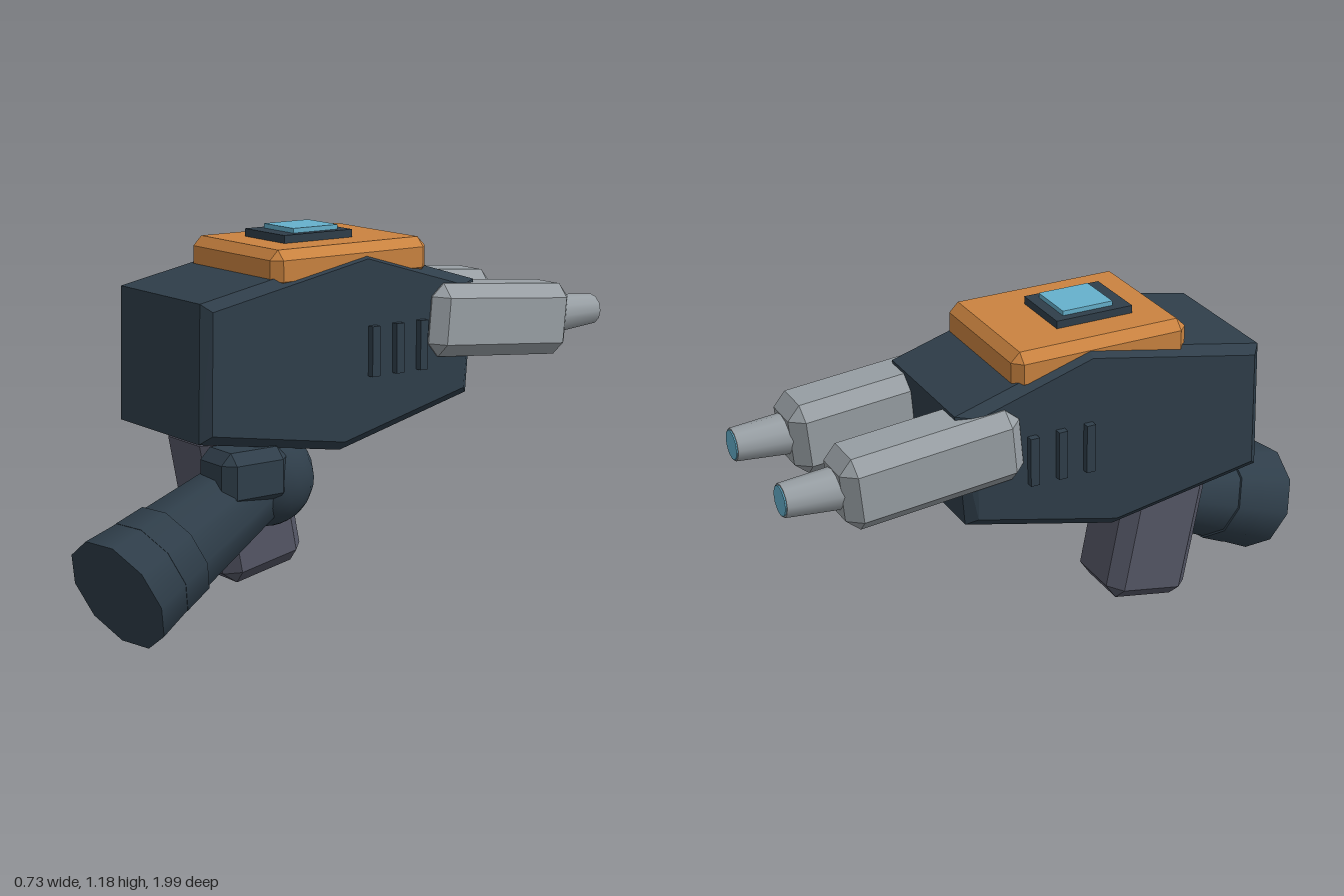
import * as THREE from 'three';
import { ConvexGeometry } from 'three/addons/geometries/ConvexGeometry.js';

const mat = (name, color) => {
  const m = new THREE.MeshStandardMaterial({ color });
  m.name = name;
  return m;
};

// Box of w x h x d with all edges chamfered by c
function chamferBox(w, h, d, c) {
  const pts = [];
  const [x, y, z] = [w / 2, h / 2, d / 2];
  for (const i of [-1, 1]) for (const j of [-1, 1]) for (const k of [-1, 1]) {
    pts.push(
      new THREE.Vector3(i * x, j * (y - c), k * (z - c)),
      new THREE.Vector3(i * (x - c), j * y, k * (z - c)),
      new THREE.Vector3(i * (x - c), j * (y - c), k * z));
  }
  return new ConvexGeometry(pts);
}

export function createModel() {
  const model = new THREE.Group();
  model.name = 'armCannon';
  const slate = mat('slate', 0x2f3e4a);
  const orange = mat('orange', 0xca8340);
  const grey = mat('lightGrey', 0x989fa4);
  const gripGrey = mat('gripGrey', 0x555766);
  const blue = mat('glowBlue', 0x66b1cd);
  const CX = -0.063; // centre plane of the weapon

  const add = (name, geometry, material, x = 0, y = 0, z = 0, parent = model) => {
    const mesh = new THREE.Mesh(geometry, material);
    mesh.name = name;
    mesh.position.set(x, y, z);
    parent.add(mesh);
    return mesh;
  };

  // Body: six-sided side profile (z, y), with a smaller profile on each flank
  const outer = [[0.605, 1.018], [0, 1.135], [-0.45, 1.0], [-0.422, 0.63], [0.09, 0.505], [0.615, 0.592]];
  const inner = [[0.578, 0.994], [0, 1.106], [-0.385, 0.99], [-0.39, 0.652], [0.09, 0.535], [0.585, 0.618]];
  const bodyPoints = [];
  for (const s of [-1, 1]) {
    for (const [z, y] of outer) bodyPoints.push(new THREE.Vector3(s * 0.226, y, z));
    for (const [z, y] of inner) bodyPoints.push(new THREE.Vector3(s * 0.255, y, z));
  }
  add('body', new ConvexGeometry(bodyPoints), slate, CX);

  // Top plate with its small screen
  add('topPlate', chamferBox(0.485, 0.125, 0.6, 0.03), orange, CX + 0.005, 1.0925, 0.046);
  add('screenFrame', new THREE.BoxGeometry(0.217, 0.04, 0.262), slate, CX, 1.16, 0.084);
  add('screen', new THREE.BoxGeometry(0.16, 0.02, 0.172), blue, CX, 1.185, 0.075);

  // Vents and barrels, mirrored about the centre plane
  for (const s of [-1, 1]) {
    const side = s > 0 ? 'left' : 'right';
    for (let i = 0; i < 3; i++) {
      add(side + 'Vent' + (i + 1), new THREE.BoxGeometry(0.03, 0.16, 0.03), slate,
        CX + s * 0.263, 0.815, -0.016 - i * 0.096);
    }
    const gun = new THREE.Group();
    gun.name = side + 'Barrel';
    gun.position.x = CX + s * 0.2;
    model.add(gun);
    const housing = add('barrelHousing', chamferBox(0.205, 0.237, 0.585, 0.043), grey, 0, 0.862, -0.538, gun);
    housing.rotation.x = -0.09;
    const muzzle = add('muzzle', new THREE.CylinderGeometry(0.052, 0.068, 0.195, 12), grey, 0, 0.845, -0.8985, gun);
    muzzle.rotation.x = -Math.PI / 2;
    const glow = add('muzzleGlow', new THREE.CylinderGeometry(0.047, 0.047, 0.008, 12), blue, 0, 0.845, -0.996, gun);
    glow.rotation.x = -Math.PI / 2;
  }

  // Grip under the body
  const grip = add('grip', chamferBox(0.27, 0.52, 0.3, 0.045), gripGrey, CX, 0.367, 0.337);
  grip.rotation.x = 0.19;

  // Arm: ball joint, tapered sleeve and stepped cuff along one axis
  const start = new THREE.Vector3(0.055, 0.43, 0.305);
  const end = new THREE.Vector3(0.175, 0.18, 0.915);
  const arm = new THREE.Group();
  arm.name = 'arm';
  arm.position.copy(start);
  arm.lookAt(end);
  model.add(arm);
  const length = start.distanceTo(end);
  const segment = (name, t0, t1, r0, r1) => {
    const g = new THREE.CylinderGeometry(r1, r0, (t1 - t0) * length, 10);
    g.rotateY(Math.PI / 10);
    g.rotateX(Math.PI / 2);
    add(name, g, slate, 0, 0, (t0 + t1) / 2 * length, arm);
  };
  add('ballJoint', new THREE.SphereGeometry(0.158, 20, 14), slate, 0, 0, 0, arm);
  segment('sleeve', 0, 0.68, 0.117, 0.16);
  segment('cuffRing', 0.66, 0.82, 0.166, 0.176);
  segment('cuff', 0.79, 1, 0.172, 0.19);

  // Guard block beside the joint
  add('jointGuard', chamferBox(0.185, 0.175, 0.24, 0.035), slate, 0.123, 0.467, 0.427);

  return model;
}
